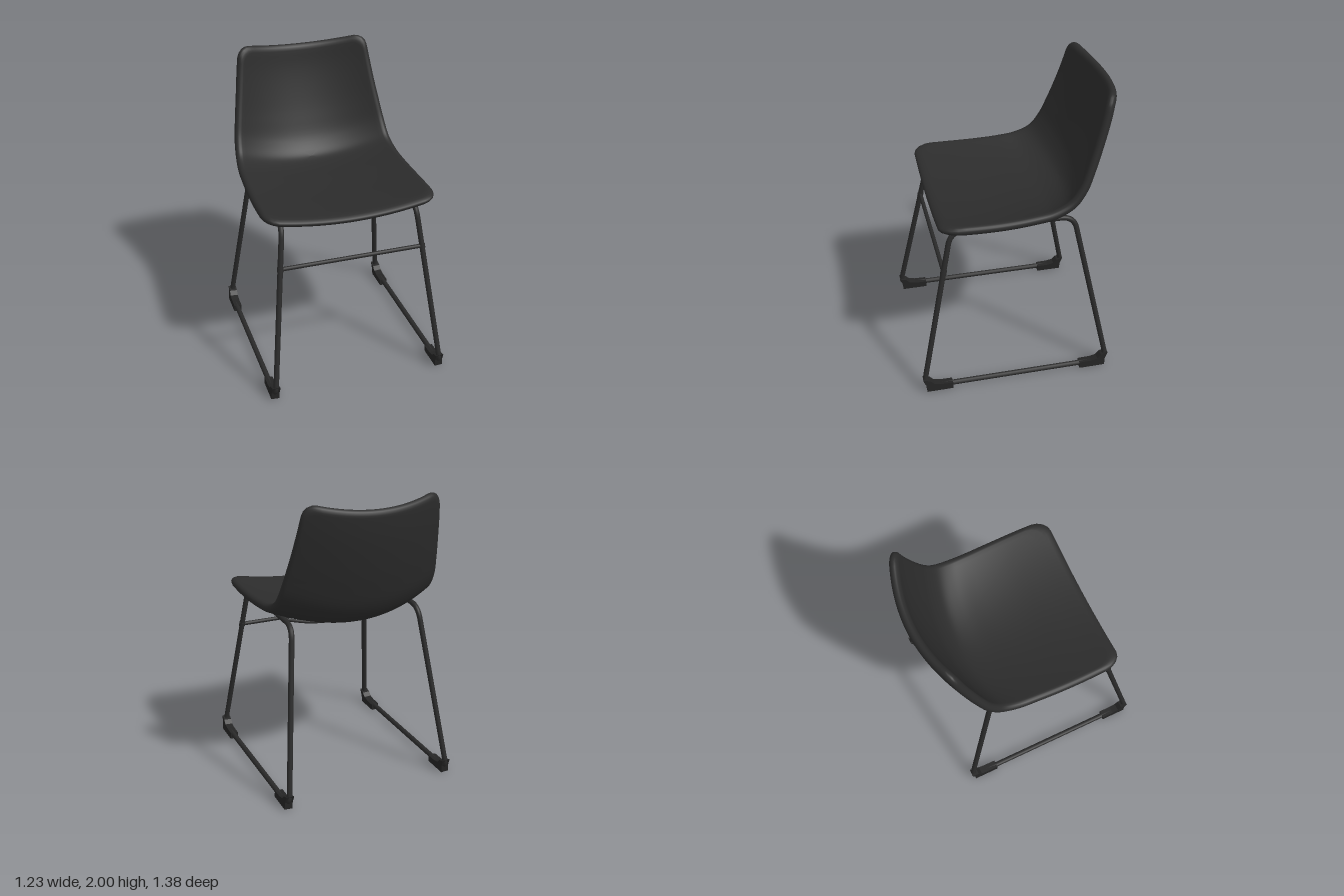
import * as THREE from 'three';

const shellMat = new THREE.MeshStandardMaterial({ color: 0x2c2c2c });
shellMat.name = 'charcoal shell';
const frameMat = new THREE.MeshStandardMaterial({ color: 0x2a2a2a });
frameMat.name = 'black metal';
const footMat = new THREE.MeshStandardMaterial({ color: 0x242424 });
footMat.name = 'black rubber';

const V = (x, y, z) => new THREE.Vector3(x, y, z);
const MID_Z = 0.045; // the sled frame is symmetric about this z

function add(parent, name, geometry, material) {
  const mesh = new THREE.Mesh(geometry, material);
  mesh.name = name;
  parent.add(mesh);
  return mesh;
}

// Seat and back in one: a sheet between a centre line and a side line, front lip to top edge
const centreLine = new THREE.CatmullRomCurve3([
  [1.18, 0.535], [1.165, 0.3], [1.15, 0.1], [1.145, -0.1], [1.15, -0.28], [1.19, -0.4],
  [1.29, -0.485], [1.45, -0.55], [1.63, -0.605], [1.8, -0.645], [1.955, -0.667],
].map(([y, z]) => V(0, y, z)));
const sideLine = new THREE.CatmullRomCurve3([
  [0.575, 1.247, 0.535], [0.582, 1.24, 0.3], [0.58, 1.24, 0.1], [0.573, 1.25, -0.07],
  [0.567, 1.27, -0.2], [0.555, 1.325, -0.315], [0.543, 1.42, -0.385], [0.522, 1.55, -0.437],
  [0.497, 1.7, -0.487], [0.473, 1.86, -0.533], [0.448, 2.015, -0.568],
].map((p) => V(...p)));

function sheet(u, v) {
  const t = THREE.MathUtils.clamp(v, 0, 1);
  const c = centreLine.getPoint(t), s = sideLine.getPoint(t), k = u * u;
  return V(s.x * u, c.y + (s.y - c.y) * k, c.z + (s.z - c.z) * k);
}

function sheetNormal(u, v) {
  const e = 0.004;
  const du = sheet(u + e, v).sub(sheet(u - e, v));
  const dv = sheet(u, Math.min(v + e, 1)).sub(sheet(u, Math.max(v - e, 0)));
  return du.cross(dv).normalize();
}

function shellGeometry() {
  const W = 0.56, L = 0.9, R = 0.09, H = 0.03, N = 168;
  // Rounded outline in sheet space
  const outline = new THREE.Shape();
  outline.absarc(W - R, L - R, R, 0, Math.PI / 2);
  outline.absarc(R - W, L - R, R, Math.PI / 2, Math.PI);
  outline.absarc(R - W, R - L, R, Math.PI, Math.PI * 1.5);
  outline.absarc(W - R, R - L, R, Math.PI * 1.5, Math.PI * 2);
  outline.closePath();
  const loop = outline.getSpacedPoints(N).slice(0, N);
  // Rings run out over the top, round the rim and back underneath
  const rings = [];
  for (let i = 0; i < 22; i++) rings.push([0.945 * i / 22, H]);
  for (let i = 0; i <= 10; i++) {
    const a = Math.PI * (0.5 - i / 10);
    rings.push([0.945 + 0.055 * Math.cos(a), H * Math.sin(a)]);
  }
  for (let i = 21; i >= 0; i--) rings.push([0.945 * i / 22, -H]);

  const pos = [], index = [];
  rings.forEach(([r, h], k) => {
    loop.forEach((p, i) => {
      const u = r * p.x / W, v = 0.5 + r * p.y / (2 * L);
      const q = sheet(u, v).addScaledVector(sheetNormal(u, v), h);
      pos.push(q.x, q.y, q.z);
      if (k === rings.length - 1) return;
      const j = (i + 1) % N, a = k * N + i, b = k * N + j, c = a + N, d = b + N;
      if (k > 0) index.push(a, d, b);
      if (k < rings.length - 2) index.push(a, c, d);
      else index.push(a, c, d);
    });
  });
  const g = new THREE.BufferGeometry();
  g.setAttribute('position', new THREE.Float32BufferAttribute(pos, 3));
  g.setIndex(index);
  g.computeVertexNormals();
  return g;
}

// Closed polyline with rounded corners
function roundedLoop(corners, radius) {
  const path = new THREE.CurvePath(), n = corners.length;
  const toward = (a, b) => a.clone().addScaledVector(b.clone().sub(a).normalize(), radius);
  corners.forEach((c, i) => {
    const prev = corners[(i + n - 1) % n], next = corners[(i + 1) % n];
    path.add(new THREE.QuadraticBezierCurve3(toward(c, prev), c, toward(c, next)));
    path.add(new THREE.LineCurve3(toward(c, next), toward(next, c)));
  });
  return path;
}

const legX = (y) => 0.59 - 0.117 * y; // the legs splay outward toward the floor

function buildSide(side) {
  const group = new THREE.Group();
  group.name = side > 0 ? 'leftSled' : 'rightSled';
  const corner = (y, z) => V(side * legX(y), y, MID_Z + z);
  const loop = roundedLoop(
    [corner(0.03, 0.645), corner(1.172, 0.405), corner(1.172, -0.405), corner(0.03, -0.645)], 0.09);
  add(group, 'sledTube', new THREE.TubeGeometry(loop, 240, 0.018, 12, true), frameMat);

  // Floor caps wrapped round the lower bends
  const cap = new THREE.Shape([
    [0.447, 0], [0.625, 0], [0.628, 0.05], [0.648, 0.1], [0.6, 0.085], [0.575, 0.058], [0.53, 0.048], [0.447, 0.046],
  ].map(([z, y]) => new THREE.Vector2(z, y)));
  for (const end of [1, -1]) {
    const g = new THREE.ExtrudeGeometry(cap, { depth: 0.054, bevelEnabled: false });
    g.translate(0, 0, -0.027);
    g.rotateY(-end * Math.PI / 2);
    const foot = add(group, end > 0 ? 'frontFoot' : 'rearFoot', g, footMat);
    foot.position.set(side * 0.586, 0, MID_Z);
    foot.rotation.z = side * 0.06;
  }
  // Collar where the stretcher meets the front leg
  const collar = add(group, 'stretcherCollar', new THREE.CylinderGeometry(0.021, 0.021, 0.03, 14), frameMat);
  collar.position.set(side * legX(0.89), 0.89, MID_Z + 0.464);
  collar.rotation.set(-0.2, 0, side * 0.117);
  return group;
}

export function createModel() {
  const chair = new THREE.Group();
  chair.name = 'chair';
  add(chair, 'seatShell', shellGeometry(), shellMat);
  for (const side of [1, -1]) chair.add(buildSide(side));

  // Stretcher between the front legs
  const stretcher = add(chair, 'stretcher',
    new THREE.CylinderGeometry(0.014, 0.014, 2 * legX(0.89), 14), frameMat);
  stretcher.rotation.z = Math.PI / 2;
  stretcher.position.set(0, 0.89, MID_Z + 0.464);

  // Bowed rods under the seat, joined by a centre rod
  for (const [name, z, y] of [['frontSupport', 0.29, 1.125], ['rearSupport', -0.2, 1.1]]) {
    const bow = new THREE.CatmullRomCurve3([
      V(-0.453, 1.165, z), V(-0.25, y + 0.015, z), V(0, y, z), V(0.25, y + 0.015, z), V(0.453, 1.165, z)]);
    add(chair, name, new THREE.TubeGeometry(bow, 32, 0.011, 8), frameMat);
  }
  const rod = new THREE.LineCurve3(V(0, 1.117, 0.31), V(0, 1.096, -0.22));
  add(chair, 'centreSupport', new THREE.TubeGeometry(rod, 1, 0.012, 10), frameMat);
  return chair;
}
